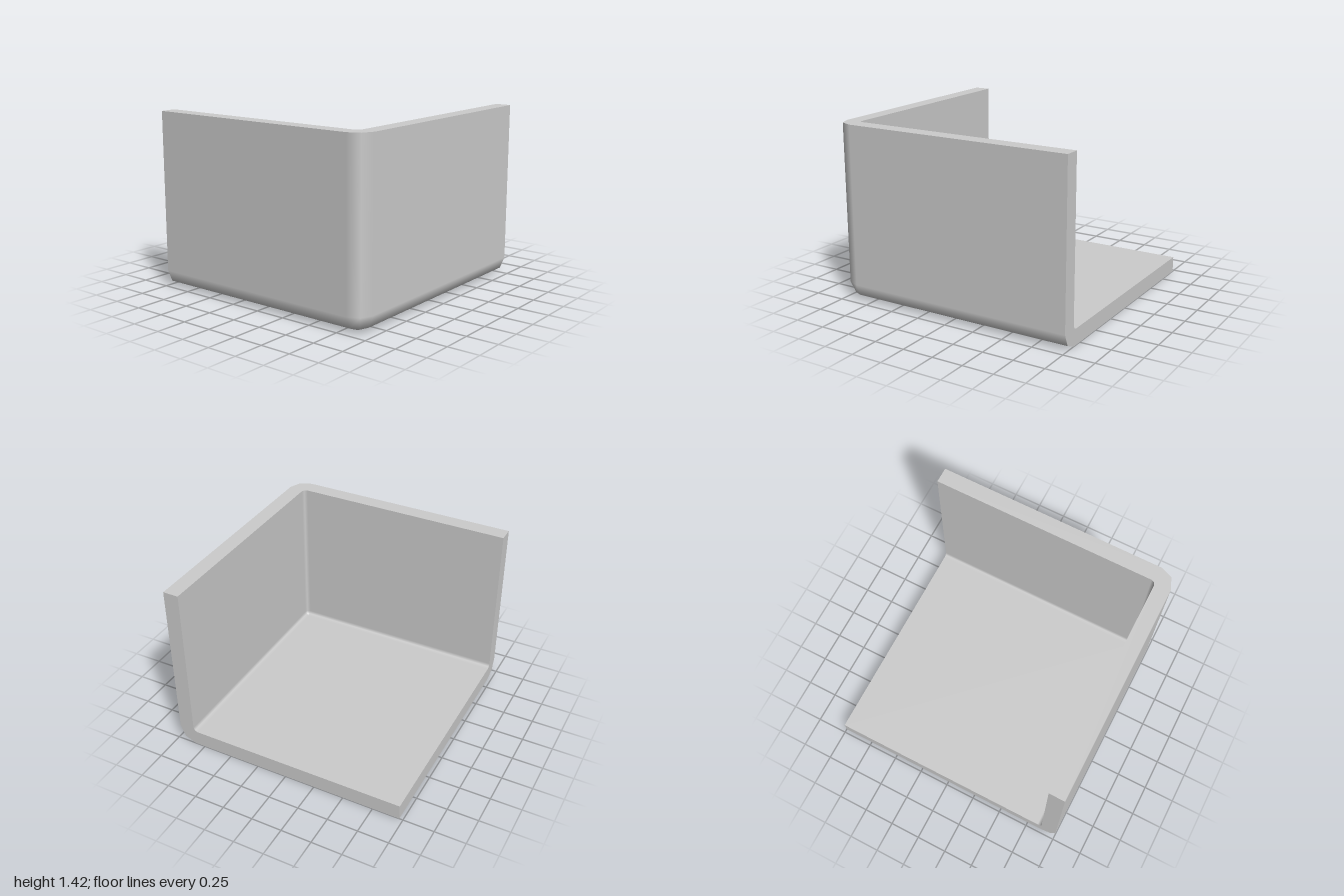
import * as THREE from 'three';

// Half sizes, height, wall thickness and bend radii
const X = 0.97, Z = 1, H = 1.42, T = 0.127;
const R_OUT = 0.135, R_IN = 0.035, STEPS = 2;

const material = new THREE.MeshStandardMaterial({ color: 0xcccccc });

// Mesh spanned between rows of points; flip turns the faces over
function surface(name, rows, flip = false, normals = null) {
  const cols = rows[0].length;
  const index = [];
  for (let j = 0; j < rows.length - 1; j++) {
    for (let i = 0; i < cols - 1; i++) {
      const a = j * cols + i, b = a + 1, c = a + cols, d = c + 1;
      index.push(...(flip ? [a, d, b, a, c, d] : [a, b, d, a, d, c]));
    }
  }
  const geometry = new THREE.BufferGeometry();
  geometry.setAttribute('position', new THREE.Float32BufferAttribute(rows.flat(2), 3));
  geometry.setIndex(index);
  if (normals) geometry.setAttribute('normal', new THREE.Float32BufferAttribute(normals.flat(), 3));
  else geometry.computeVertexNormals();
  const mesh = new THREE.Mesh(geometry, material);
  mesh.name = name;
  return mesh;
}

// Two walls meeting in a rounded corner and bending into the floor
function shell(inset, radius) {
  const cx = X - inset - radius, cz = Z - inset - radius;
  const sign = inset > 0 ? -1 : 1;
  const rows = [], normals = [];
  for (let j = 0; j <= STEPS + 1; j++) {
    const b = Math.min(j / STEPS, 1) * Math.PI / 2;
    const y = j > STEPS ? H : inset + radius * (1 - Math.cos(b));
    const rho = radius * Math.sin(b);
    const row = [];
    const add = (x, z, a) => {
      row.push([x, y, z]);
      normals.push([Math.sin(b) * Math.sin(a), -Math.cos(b), Math.sin(b) * Math.cos(a)].map(n => n * sign));
    };
    add(-X, cz + rho, 0);
    for (let i = 0; i <= STEPS; i++) {
      const a = i / STEPS * Math.PI / 2;
      add(cx + rho * Math.sin(a), cz + rho * Math.cos(a), a);
    }
    add(cx + rho, -Z, Math.PI / 2);
    rows.push(row);
  }
  const floorCorner = [-X, inset, -Z];
  const floor = [[floorCorner, [cx, inset, -Z]], [[-X, inset, cz], [cx, inset, cz]]];
  return {
    rows, normals, floor,
    top: rows[rows.length - 1],
    leftEnd: [floorCorner, ...rows.map(r => r[0])],
    backEnd: [floorCorner, ...rows.map(r => r[r.length - 1])],
  };
}

export function createModel() {
  const model = new THREE.Group();
  model.name = 'cornerBracket';
  const outer = shell(0, R_OUT), inner = shell(T, R_IN);

  // Walls and floor, outside and inside
  model.add(
    surface('outerWalls', outer.rows, false, outer.normals),
    surface('outerFloor', outer.floor),
    surface('innerWalls', inner.rows, true, inner.normals),
    surface('innerFloor', inner.floor, true),
  );

  // Flat cut edges joining the two skins
  model.add(
    surface('topEdge', [outer.top, inner.top]),
    surface('sideEdge', [outer.leftEnd, inner.leftEnd]),
    surface('backEdge', [outer.backEnd, inner.backEnd], true),
  );
  return model;
}
